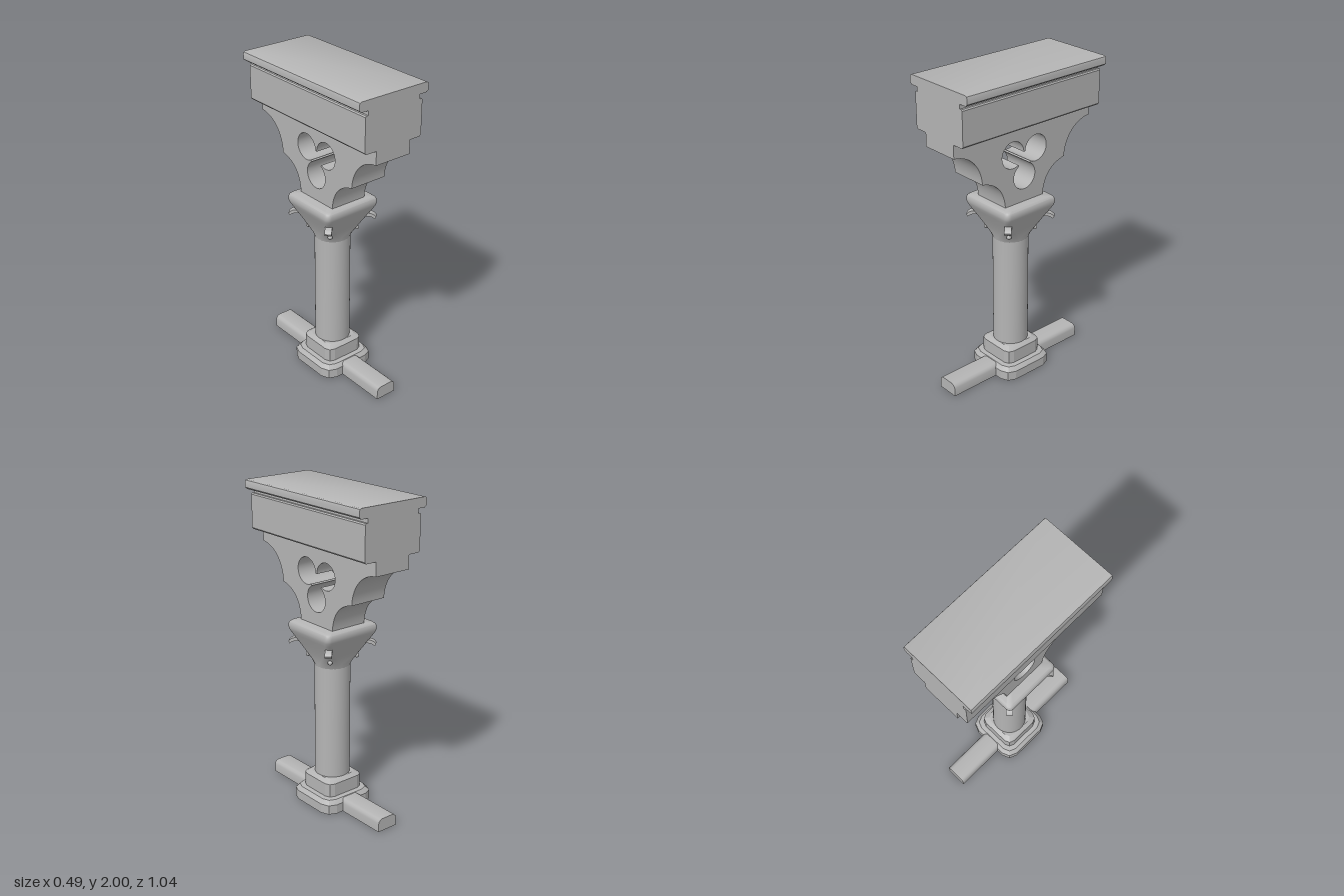
import * as THREE from 'three';
import { toCreasedNormals } from 'three/addons/utils/BufferGeometryUtils.js';

const stone = new THREE.MeshStandardMaterial({ color: 0xb4b4b4 });
stone.name = 'stone grey';

// Closed loft through rounded squares; levels are [y, halfWidth, cornerRadius]
function loftSquares(levels, segs) {
  const n = 4 * (segs + 1), pos = [], idx = [];
  for (const [y, w, r] of levels) {
    for (let q = 0; q < 4; q++) {
      const mid = Math.PI / 4 + q * Math.PI / 2;
      const cx = Math.sign(Math.cos(mid)) * (w - r), cz = Math.sign(Math.sin(mid)) * (w - r);
      for (let s = 0; s <= segs; s++) {
        const a = (q + s / segs) * Math.PI / 2;
        pos.push(cx + r * Math.cos(a), y, cz + r * Math.sin(a));
      }
    }
  }
  const last = levels.length - 1, bottom = n * levels.length, top = bottom + 1;
  pos.push(0, levels[0][0], 0, 0, levels[last][0], 0);
  for (let j = 0; j < n; j++) {
    const k = (j + 1) % n;
    for (let i = 0; i < last; i++) {
      const a = i * n + j, b = i * n + k;
      idx.push(a, a + n, b, b, a + n, b + n);
    }
    idx.push(bottom, j, k, top, last * n + k, last * n + j);
  }
  const g = new THREE.BufferGeometry();
  g.setAttribute('position', new THREE.Float32BufferAttribute(pos, 3));
  g.setIndex(idx);
  return g;
}

// Extrusion centred on its depth
function slab(shape, depth) {
  return new THREE.ExtrudeGeometry(shape, { depth, bevelEnabled: false, curveSegments: 20 })
    .translate(0, 0, -depth / 2);
}

// Mirrored outline from the points of its right half, listed bottom to top
function mirroredShape(half) {
  const left = half.map(([x, y]) => [-x, y]).reverse();
  return new THREE.Shape([...half, ...left].map(([x, y]) => new THREE.Vector2(x, y)));
}

export function createModel() {
  const group = new THREE.Group();
  const add = (name, geometry, crease = 0.6) => {
    const mesh = new THREE.Mesh(toCreasedNormals(geometry, crease), stone);
    mesh.name = name;
    group.add(mesh);
    return mesh;
  };

  // Ground sill
  add('groundSill', slab(mirroredShape([
    [0.07, 0], [0.07, 0.055], [0.065, 0.068], [0.055, 0.078], [0.042, 0.082],
  ]), 1.04));

  // Two-stage base with chamfered corners
  add('lowerPlinth', loftSquares([
    [0, 0.187, 0.07], [0.06, 0.187, 0.07], [0.085, 0.165, 0.06], [0.09, 0.13, 0.05],
  ], 2), 0.3);
  add('upperPlinth', loftSquares([
    [0.08, 0.136, 0.045], [0.175, 0.136, 0.045], [0.196, 0.11, 0.05],
  ], 2), 0.3);

  // Round shaft
  add('shaft', new THREE.CylinderGeometry(0.11, 0.11, 0.76, 40).translate(0, 0.56, 0));

  // Capital, round below and square above
  add('capital', loftSquares([
    [0.92, 0.11, 0.11], [0.95, 0.115, 0.095], [1.0, 0.131, 0.06], [1.06, 0.157, 0.04],
    [1.11, 0.181, 0.03], [1.135, 0.193, 0.03], [1.15, 0.197, 0.03], [1.17, 0.197, 0.03],
    [1.183, 0.192, 0.03], [1.192, 0.18, 0.03],
  ], 6));

  // Curled leaf and small bud on each corner of the capital
  const leaf = new THREE.Shape();
  leaf.moveTo(0.16, 1.05);
  leaf.lineTo(0.2, 1.062);
  leaf.quadraticCurveTo(0.235, 1.068, 0.258, 1.046);
  leaf.lineTo(0.266, 1.06);
  leaf.quadraticCurveTo(0.245, 1.09, 0.2, 1.084);
  leaf.lineTo(0.16, 1.08);
  for (let i = 0; i < 4; i++) {
    const turn = Math.PI / 4 + i * Math.PI / 2;
    add('cornerLeaf', slab(leaf, 0.042)).rotation.y = turn;
    add('cornerBud', new THREE.SphereGeometry(0.015, 12, 8).translate(0.148, 0.977, 0)).rotation.y = turn;
  }

  // Bracket with two scallops on each side and a trefoil opening
  const bracket = new THREE.Shape();
  const rad = THREE.MathUtils.degToRad;
  bracket.moveTo(0.148, 1.18);
  bracket.lineTo(0.148, 1.19);
  bracket.quadraticCurveTo(0.16, 1.36, 0.32, 1.39);
  bracket.bezierCurveTo(0.325, 1.51, 0.41, 1.6, 0.52, 1.605);
  bracket.lineTo(0.52, 1.7);
  bracket.lineTo(-0.52, 1.7);
  bracket.lineTo(-0.52, 1.605);
  bracket.bezierCurveTo(-0.41, 1.6, -0.325, 1.51, -0.32, 1.39);
  bracket.quadraticCurveTo(-0.16, 1.36, -0.148, 1.19);
  bracket.lineTo(-0.148, 1.18);
  const trefoil = new THREE.Path();
  trefoil.absarc(0.089, 1.508, 0.083, rad(180), rad(-120), true);
  trefoil.absarc(0, 1.355, 0.083, rad(60), rad(-240), true);
  trefoil.absarc(-0.089, 1.508, 0.083, rad(300), rad(0), true);
  bracket.holes.push(trefoil);
  add('bracket', slab(bracket, 0.246).rotateY(-Math.PI / 2));

  // Handrail beam with a recessed neck under its coping
  add('handrail', slab(mirroredShape([
    [0.122, 1.69], [0.195, 1.69], [0.204, 1.7], [0.204, 1.905], [0.198, 1.913], [0.185, 1.913],
    [0.185, 1.94], [0.232, 1.94], [0.247, 1.952], [0.247, 1.985], [0.243, 1.995], [0.234, 2],
  ]), 1.04));

  return group;
}
